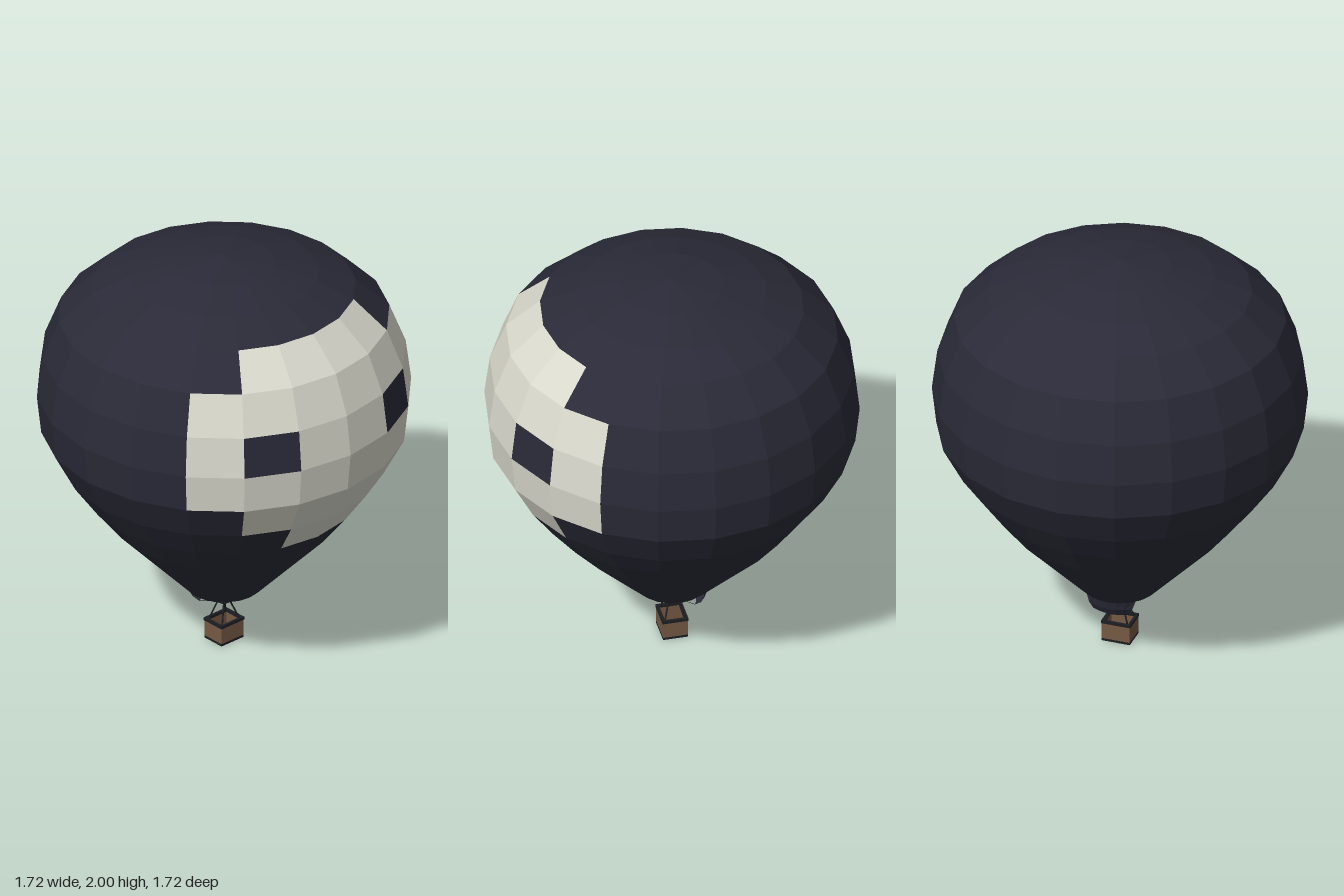
import * as THREE from 'three';

const SIDES = 20;
const STEP = (Math.PI * 2) / SIDES;

const mat = (color) => new THREE.MeshStandardMaterial({ color, flatShading: true, side: THREE.DoubleSide });
const dark = mat(0x2a2a38), cream = mat(0xd8d8cc), wicker = mat(0x755944), black = mat(0x1c1e22);

// Envelope rings from crown to mouth: [radius, height]
const RINGS = [[0, 2], [0.235, 1.97], [0.435, 1.915], [0.605, 1.84], [0.76, 1.695], [0.835, 1.505], [0.86, 1.31],
  [0.84, 1.125], [0.745, 0.945], [0.635, 0.79], [0.515, 0.638], [0.175, 0.28]];
// Half-width, in panels, of the pale face on each row
const FACE = { 3: 2, 4: 3, 5: 3, 6: 3, 7: 2, 8: 1 };
const EYE_ROW = 5;

function add(parent, name, geometry, material, x = 0, y = 0, z = 0) {
  const mesh = new THREE.Mesh(geometry, material);
  mesh.name = name;
  mesh.position.set(x, y, z);
  parent.add(mesh);
  return mesh;
}

function surface(positions) {
  const g = new THREE.BufferGeometry();
  g.setAttribute('position', new THREE.Float32BufferAttribute(positions, 3));
  g.computeVertexNormals();
  return g;
}

function pushQuad(out, a, b, c, d) {
  out.push(...a, ...b, ...c, ...a, ...c, ...d);
}

// Straight rod between two points
function rod(parent, name, a, b, radius, material) {
  const from = new THREE.Vector3(...a), to = new THREE.Vector3(...b);
  const dir = to.clone().sub(from);
  const mesh = add(parent, name, new THREE.CylinderGeometry(radius, radius, dir.length(), 6), material);
  mesh.position.copy(from).add(to).multiplyScalar(0.5);
  mesh.quaternion.setFromUnitVectors(new THREE.Vector3(0, 1, 0), dir.normalize());
}

// Envelope panels, sorted into dark fabric and pale face
function buildEnvelope() {
  const group = new THREE.Group();
  group.name = 'envelope';
  const fabric = [], face = [];
  const point = (ring, col) => {
    const [r, y] = RINGS[ring];
    return [r * Math.sin(col * STEP), y, r * Math.cos(col * STEP)];
  };
  for (let row = 0; row < RINGS.length - 1; row++) {
    for (let col = -SIDES / 2; col < SIDES / 2; col++) {
      const fromMiddle = col < 0 ? -col - 1 : col;
      const isEye = row === EYE_ROW && fromMiddle === 1;
      const out = fromMiddle < (FACE[row] ?? 0) && !isEye ? face : fabric;
      const a = point(row + 1, col), b = point(row + 1, col + 1), c = point(row, col + 1), d = point(row, col);
      if (row === 0) out.push(...a, ...b, ...c);
      else pushQuad(out, a, b, c, d);
    }
  }
  add(group, 'envelopeFabric', surface(fabric), dark);
  add(group, 'facePanels', surface(face), cream);
  return group;
}

// Curved scoop hanging behind the mouth: [half-width, height, z at edge, z at middle]
function buildScoop() {
  const rows = [[0.12, 0.28, -0.12, -0.172], [0.105, 0.235, -0.125, -0.16], [0.088, 0.2, -0.115, -0.14],
    [0.072, 0.18, -0.09, -0.11]];
  const cols = 6, out = [];
  const point = ([w, y, edge, middle], t) => [w * t, y, edge + (middle - edge) * (1 - t * t)];
  for (let i = 0; i < rows.length - 1; i++) {
    for (let j = 0; j < cols; j++) {
      const t0 = 1 - (2 * j) / cols, t1 = 1 - (2 * (j + 1)) / cols;
      pushQuad(out, point(rows[i + 1], t0), point(rows[i + 1], t1), point(rows[i], t1), point(rows[i], t0));
    }
  }
  return surface(out);
}

// Open wicker basket with padded rim and base
function buildBasket() {
  const group = new THREE.Group();
  group.name = 'basket';
  const w = 0.068, d = 0.058, t = 0.008;
  add(group, 'basketBase', new THREE.BoxGeometry(w * 2, 0.012, d * 2), black, 0, 0.006, 0);
  for (const s of [-1, 1]) {
    add(group, 'sideWall', new THREE.BoxGeometry(t, 0.083, d * 2), wicker, s * (w - t / 2), 0.0535, 0);
    add(group, 'endWall', new THREE.BoxGeometry(w * 2 - t * 2, 0.083, t), wicker, 0, 0.0535, s * (d - t / 2));
    add(group, 'sideRim', new THREE.BoxGeometry(0.014, 0.013, d * 2 + 0.006), black, s * (w - 0.004), 0.098, 0);
    add(group, 'endRim', new THREE.BoxGeometry(w * 2 + 0.006, 0.013, 0.014), black, 0, 0.098, s * (d - 0.004));
  }
  return group;
}

// Burner frame, uprights and suspension cables
function buildRigging() {
  const group = new THREE.Group();
  group.name = 'rigging';
  const top = 0.19, f = 0.02;
  for (const s of [-1, 1]) {
    rod(group, 'burnerFrame', [-f, top, s * f], [f, top, s * f], 0.004, black);
    rod(group, 'burnerFrame', [s * f, top, -f], [s * f, top, f], 0.004, black);
    add(group, 'burner', new THREE.CylinderGeometry(0.008, 0.006, 0.036, 8), black, s * 0.009, 0.198, 0);
    for (const q of [-1, 1]) rod(group, 'upright', [s * 0.052, 0.1, q * 0.045], [s * f, top, q * f], 0.004, black);
  }
  rod(group, 'burnerBar', [-f, top, 0], [f, top, 0], 0.004, black);
  for (let i = 0; i < 10; i++) {
    const a = i * 2 * STEP, sx = Math.sin(a), cz = Math.cos(a);
    const corner = [f * (sx < 0 ? -1 : 1), top, f * (cz < 0 ? -1 : 1)];
    rod(group, 'cable', corner, [sx * 0.174, 0.281, cz * 0.174], 0.0009, black);
  }
  // Cords holding the scoop forward
  for (const s of [-1, 1]) rod(group, 'scoopCord', [s * f, top, -f], [s * 0.072, 0.181, -0.09], 0.0009, black);
  return group;
}

export function createModel() {
  const model = new THREE.Group();
  model.name = 'hotAirBalloon';
  model.add(buildEnvelope(), buildBasket(), buildRigging());
  add(model, 'scoop', buildScoop(), dark);
  return model;
}
